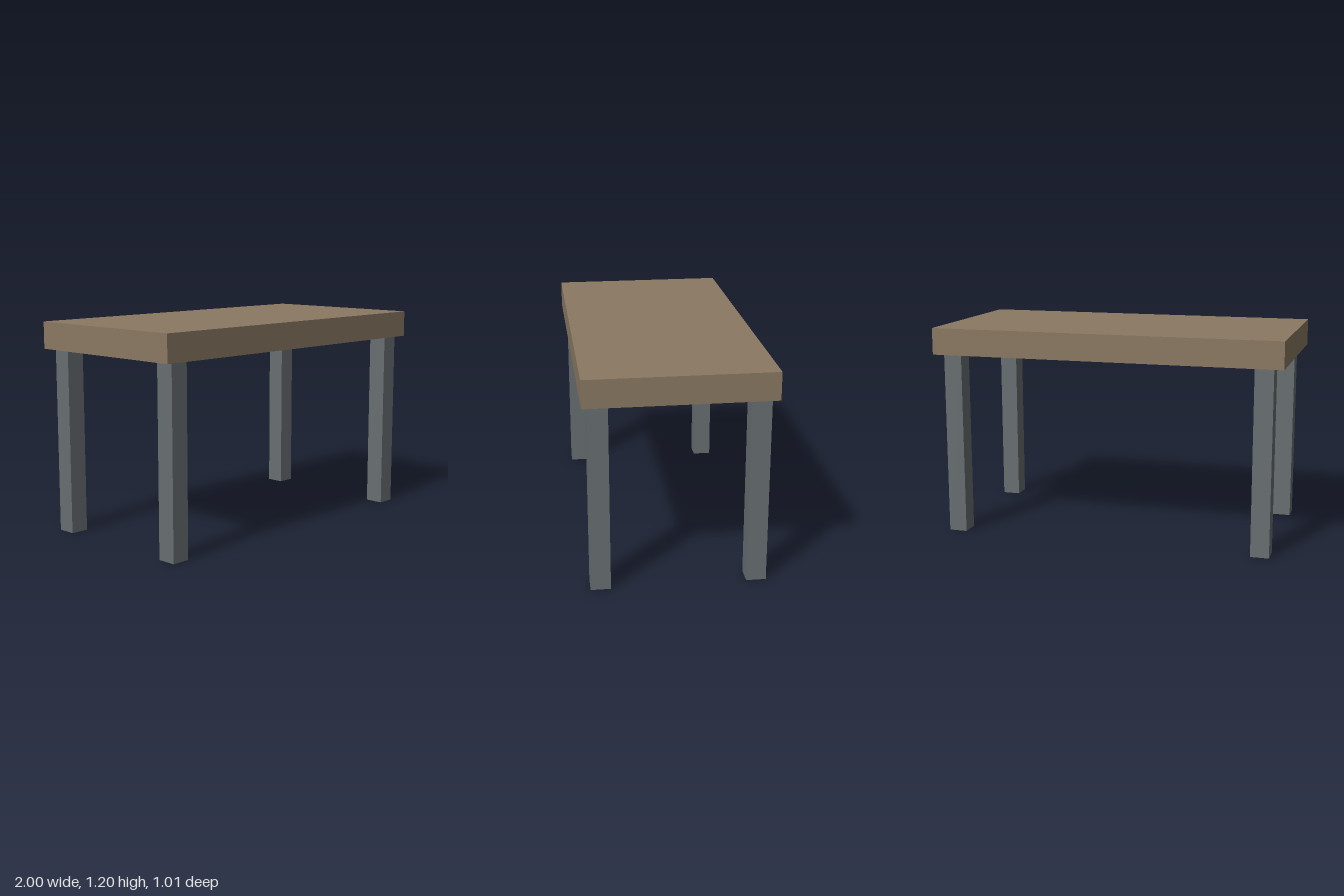
import * as THREE from 'three';

const HEIGHT = 1.197, UNDERSIDE = 1.045;

export function createModel() {
  const table = new THREE.Group();
  table.name = 'table';
  const wood = new THREE.MeshStandardMaterial({ color: 0x8b7963 });
  const metal = new THREE.MeshStandardMaterial({ color: 0x686f71 });

  // Thick slab top
  const thickness = HEIGHT - UNDERSIDE;
  const top = new THREE.Mesh(new THREE.BoxGeometry(2, thickness, 1.008), wood);
  top.name = 'tableTop';
  top.position.y = UNDERSIDE + thickness / 2;
  table.add(top);

  // Four square legs, set in from the corners
  const legGeometry = new THREE.BoxGeometry(0.104, UNDERSIDE, 0.108);
  for (const [zName, z] of [['front', 1], ['back', -1]]) {
    for (const [xName, x] of [['Left', 1], ['Right', -1]]) {
      const leg = new THREE.Mesh(legGeometry, metal);
      leg.name = `${zName}${xName}Leg`;
      leg.position.set(x * 0.892, UNDERSIDE / 2, z * 0.42);
      table.add(leg);
    }
  }
  return table;
}
